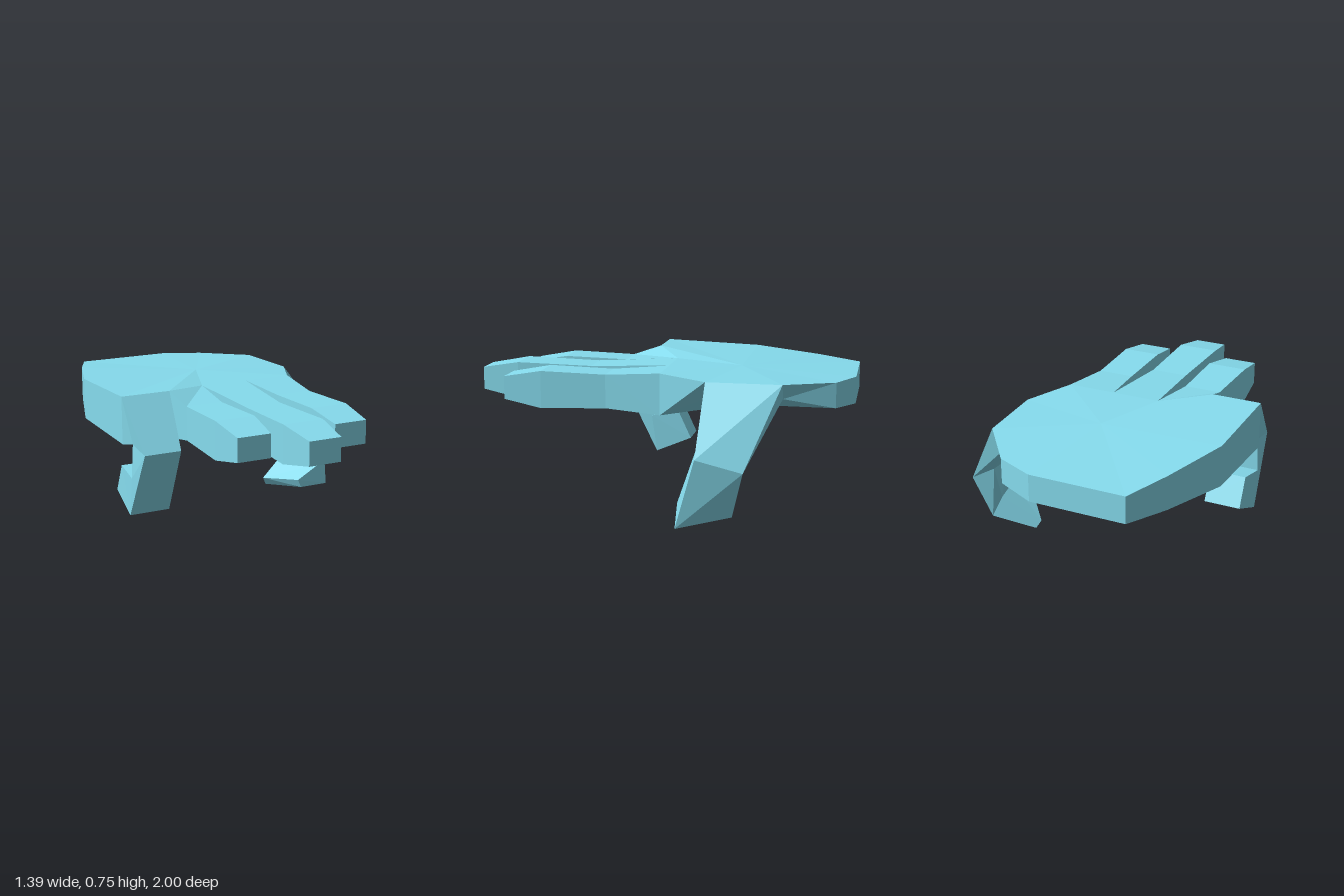
import * as THREE from 'three';

const material = new THREE.MeshStandardMaterial({ color: 0x86dcee, flatShading: true });

// Faceted mesh from polygons, each a list of [x, y, z] corners
function facetMesh(name, polygons) {
  const pos = [];
  for (const p of polygons)
    for (let i = 1; i < p.length - 1; i++) pos.push(...p[0], ...p[i], ...p[i + 1]);
  const geometry = new THREE.BufferGeometry();
  geometry.setAttribute('position', new THREE.Float32BufferAttribute(pos, 3));
  geometry.computeVertexNormals();
  const mesh = new THREE.Mesh(geometry, material);
  mesh.name = name;
  return mesh;
}

// Four-sided limb through a series of sections, closed at the tip
function limb(name, sections) {
  const faces = [];
  for (let s = 0; s < sections.length - 1; s++) {
    const a = sections[s], b = sections[s + 1];
    for (let i = 0; i < 4; i++) {
      const j = (i + 1) % 4;
      faces.push([a[i], a[j], b[j], b[i]]);
    }
  }
  faces.push(sections[sections.length - 1]);
  return facetMesh(name, faces);
}

// Straight finger section at depth z
const slice = (x0, x1, yb, yt, z) => [[x0, yb, z], [x1, yb, z], [x1, yt, z], [x0, yt, z]];

export function createModel() {
  const hand = new THREE.Group();
  hand.name = 'hand';

  // Palm rim: upper corner, lower corner, and whether a wall follows
  const rim = [
    [[-0.48, 0.69, -1], [-0.48, 0.55, -1], true],
    [[0.02, 0.69, -1], [0.02, 0.55, -1], true],
    [[0.22, 0.69, -0.91], [0.22, 0.56, -0.91], true],
    [[0.42, 0.705, -0.66], [0.34, 0.62, -0.655], false], // thumb root
    [[0.44, 0.71, -0.28], [0.27, 0.6, -0.27], true],
    [[0.32, 0.725, -0.03], [0.32, 0.51, -0.03], false], // index root
    [[0.065, 0.725, -0.03], [0.065, 0.51, -0.03], false], // middle root
    [[-0.19, 0.725, -0.03], [-0.19, 0.51, -0.03], false], // ring root
    [[-0.44, 0.755, 0.11], [-0.44, 0.51, 0.11], false], // little root
    [[-0.7, 0.755, 0.11], [-0.7, 0.51, 0.11], true],
    [[-0.7, 0.735, -0.41], [-0.7, 0.52, -0.41], true],
    [[-0.58, 0.71, -0.77], [-0.58, 0.535, -0.77], true],
  ];
  const topCentre = [-0.05, 0.72, -0.4], bottomCentre = [0, 0.52, -0.4];
  const palm = [];
  rim.forEach(([t, b, wall], i) => {
    const [t2, b2] = rim[(i + 1) % rim.length];
    if (wall) palm.push([t, t2, b2, b]);
    palm.push([topCentre, t2, t], [bottomCentre, b, b2]);
  });
  hand.add(facetMesh('palm', palm));

  // Straight fingers
  hand.add(limb('indexFinger', [
    slice(0.065, 0.32, 0.51, 0.725, -0.03),
    slice(0.1, 0.29, 0.53, 0.705, 0.26),
    slice(0.1, 0.3, 0.52, 0.715, 0.6),
    slice(0.115, 0.29, 0.56, 0.68, 0.8),
  ]));
  hand.add(limb('middleFinger', [
    slice(-0.19, 0.065, 0.51, 0.725, -0.03),
    slice(-0.16, 0.035, 0.53, 0.705, 0.4),
    slice(-0.17, 0.045, 0.52, 0.715, 0.8),
    slice(-0.145, 0.025, 0.56, 0.68, 1),
  ]));
  hand.add(limb('ringFinger', [
    [[-0.44, 0.51, 0.11], [-0.19, 0.51, -0.03], [-0.19, 0.725, -0.03], [-0.44, 0.755, 0.11]],
    slice(-0.415, -0.22, 0.53, 0.705, 0.26),
    slice(-0.425, -0.215, 0.52, 0.715, 0.6),
    slice(-0.41, -0.235, 0.56, 0.68, 0.8),
  ]));

  // Curled little finger: x range, inner [y, z], outer [y, z]
  const curl = [
    [-0.7, -0.44, [0.51, 0.11], [0.755, 0.11]],
    [-0.67, -0.475, [0.52, 0.17], [0.5, 0.32]],
    [-0.68, -0.465, [0.345, 0.17], [0.14, 0.14]],
    [-0.67, -0.475, [0.37, 0.015], [0.22, -0.055]],
  ];
  hand.add(limb('littleFinger', curl.map(([x0, x1, inner, outer]) =>
    [[x0, ...inner], [x1, ...inner], [x1, ...outer], [x0, ...outer]])));

  // Thumb hanging down and bent inwards under the palm
  hand.add(limb('thumb', [
    [rim[4][0], rim[4][1], rim[3][1], rim[3][0]],
    [[0.695, 0.375, -0.27], [0.56, 0.45, -0.275], [0.53, 0.385, -0.49], [0.66, 0.31, -0.5]],
    [[0.665, 0.02, -0.17], [0.62, 0.14, -0.175], [0.54, 0.18, -0.41], [0.585, 0.07, -0.44]],
    [[0.5, 0.02, -0.17], [0.48, 0.065, -0.17], [0.345, 0.05, -0.34], [0.37, 0.005, -0.355]],
  ]));
  return hand;
}
